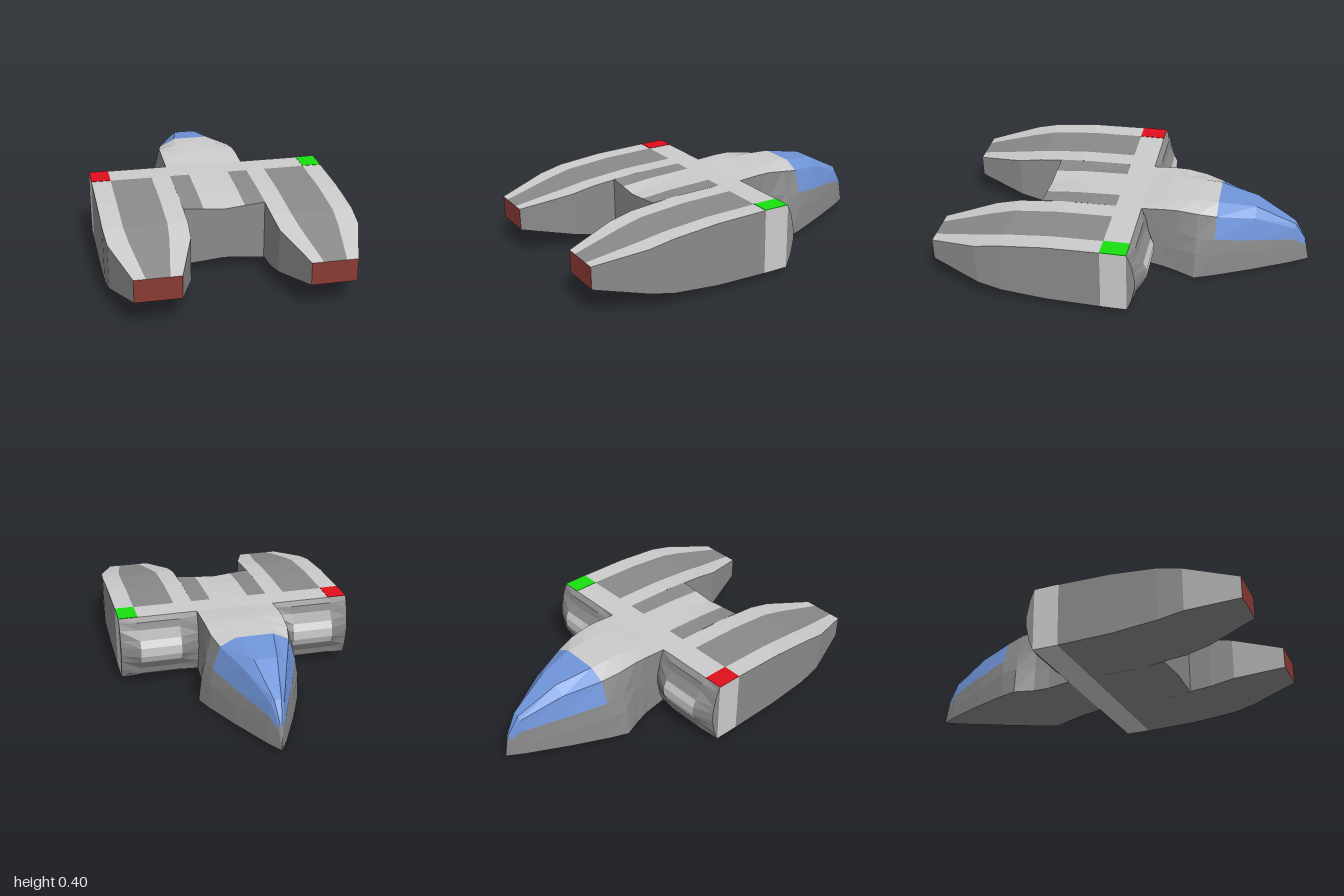
import * as THREE from 'three';

const LIGHT = 0xcccccc, DARK = 0x8a8a8a, BLUE = 0x6f94d8, RED = 0x8a3a34;
const PORT = 0x18e010, STARBOARD = 0xe0101c, PALE = 0xffffff;

const material = (color) => new THREE.MeshStandardMaterial({ color, flatShading: true });

// Skin a grid of points; pick(row, column) gives each panel its colour.
function skin(name, rows, pick, closed = true) {
  const byColour = new Map();
  const a = new THREE.Vector3(), b = new THREE.Vector3(), c = new THREE.Vector3();
  const group = new THREE.Group();
  group.name = name;
  for (let i = 0; i < rows.length - 1; i++) {
    const n = rows[i].length;
    for (let j = 0; j < (closed ? n : n - 1); j++) {
      const k = (j + 1) % n, colour = pick(i, j);
      if (!byColour.has(colour)) byColour.set(colour, []);
      const quad = [rows[i][j], rows[i + 1][j], rows[i + 1][k], rows[i][k]];
      for (const t of [[0, 1, 2], [0, 2, 3]]) {
        const [p, q, r] = t.map((m) => quad[m]);
        a.set(...p); b.set(...q).sub(a); c.set(...r).sub(a);
        if (b.cross(c).length() > 1e-7) byColour.get(colour).push(...p, ...q, ...r);
      }
    }
  }
  for (const [colour, points] of byColour) {
    const geometry = new THREE.BufferGeometry();
    geometry.setAttribute('position', new THREE.Float32BufferAttribute(points, 3));
    geometry.computeVertexNormals();
    const mesh = new THREE.Mesh(geometry, material(colour));
    mesh.name = name + 'Panels';
    group.add(mesh);
  }
  return group;
}

// Collapse a ring to one point, to close an end.
const collapse = (ring, y) => ring.map((p) => [0, y, p[2]]);

// Mirror a right-hand half section, listed bottom to top, into a full ring.
const mirrorRing = (half, z) => [
  ...half.map(([x, y]) => [x, y, z]),
  ...half.slice().reverse().map(([x, y]) => [-x, y, z]),
];

// Engine pod: tapered box with a dark stripe along the top
function makePod() {
  const sections = [
    // z, half width, half stripe, bottom, top
    [1, 0.117, 0.058, 0.15, 0.27],
    [0.73, 0.207, 0.1, 0.093, 0.33],
    [0.6, 0.216, 0.112, 0.066, 0.357],
    [0.35, 0.217, 0.113, 0.042, 0.38],
    [0.06, 0.217, 0.113, 0.035, 0.387],
  ];
  const rings = sections.map(([z, w, s, y0, y1]) => mirrorRing([[w, y0], [w, y1], [s, y1]], z));
  rings.unshift(collapse(rings[0], 0.21));
  return skin('enginePod', rings, (i, j) => (i === 0 ? RED : j === 1 || j === 3 ? LIGHT : DARK));
}

// Rounded intake on the far end of a pod
function makeIntake() {
  const profile = [
    // y, z at the sides, z in the middle
    [0.387, -0.08, -0.08], [0.365, -0.09, -0.108], [0.325, -0.105, -0.118],
    [0.275, -0.115, -0.15], [0.235, -0.123, -0.168], [0.185, -0.123, -0.168],
    [0.145, -0.115, -0.15], [0.095, -0.105, -0.118], [0.057, -0.09, -0.108],
    [0.035, -0.08, -0.08],
  ];
  const w = 0.217, s = 0.113;
  const rows = profile.map(([y, edge, mid]) => [
    [w, y, -0.08], [w, y, edge], [s, y, mid],
    [-s, y, mid], [-w, y, edge], [-w, y, -0.08],
  ]);
  return skin('intake', rows, (i, j) => (j === 2 && i >= 3 && i <= 5 ? PALE : DARK), false);
}

// Middle hull between the pods, its top and bottom dished towards the front
function makeHull() {
  const rings = [[0.475, 0.372, 0.352], [0.3, 0.382, 0.374], [0.06, 0.387, 0.387]].map(([z, edge, mid]) => {
    const inner = (edge + mid) / 2, flip = 0.422;
    return mirrorRing([
      [0, flip - mid], [0.11, flip - inner], [0.217, flip - edge],
      [0.217, edge], [0.11, inner], [0, mid],
    ], z);
  });
  rings.unshift(collapse(rings[0], 0.211));
  return skin('middleHull', rings, (i, j) => (i > 0 && (j === 4 || j === 5 || j === 6) ? LIGHT : DARK));
}

// Pointed cabin with a blue canopy
function makeCabin() {
  const sections = [
    [-0.08, [[0.217, 0.035], [0.217, 0.15], [0.217, 0.25], [0.217, 0.387], [0.11, 0.387]]],
    [-0.2, [[0.222, 0.016], [0.222, 0.15], [0.22, 0.26], [0.217, 0.395], [0.11, 0.4]]],
    [-0.28, [[0.24, 0.008], [0.232, 0.15], [0.225, 0.265], [0.215, 0.395], [0.11, 0.405]]],
    [-0.385, [[0.28, 0.003], [0.262, 0.15], [0.24, 0.245], [0.208, 0.38], [0.105, 0.405]]],
    [-0.485, [[0.245, 0.006], [0.24, 0.148], [0.225, 0.235], [0.185, 0.36], [0.1, 0.402]]],
    [-0.69, [[0.158, 0.012], [0.153, 0.12], [0.143, 0.203], [0.112, 0.325], [0.06, 0.37]]],
    [-0.91, [[0.052, 0.016], [0.049, 0.085], [0.044, 0.168], [0.032, 0.233], [0.018, 0.255]]],
    [-0.97, [[0.017, 0.017], [0.016, 0.07], [0.014, 0.12], [0.01, 0.145], [0.005, 0.155]]],
    [-1, [[0, 0.018], [0, 0.018], [0, 0.018], [0, 0.018], [0, 0.018]]],
  ];
  const rings = sections.map(([z, half]) => mirrorRing(half, z));
  return skin('cabin', rings, (i, j) => {
    if (i >= 4 && i < 7 && j >= 2 && j <= 6) return BLUE;
    return i < 4 && j >= 3 && j <= 5 ? LIGHT : DARK;
  });
}

export function createModel() {
  const model = new THREE.Group();
  model.name = 'spacecraft';
  model.add(makeHull(), makeCabin());

  // Cross beam joining the pods
  const beam = new THREE.Mesh(new THREE.BoxGeometry(1.3, 0.352, 0.14), material(LIGHT));
  beam.name = 'crossBeam';
  beam.position.set(0, 0.211, -0.01);
  model.add(beam);

  for (const side of [1, -1]) {
    for (const part of [makePod(), makeIntake()]) {
      part.position.x = side * 0.433;
      model.add(part);
    }
    // Side light on the beam
    const lamp = new THREE.Mesh(new THREE.BoxGeometry(0.105, 0.004, 0.14), material(side > 0 ? PORT : STARBOARD));
    lamp.name = side > 0 ? 'leftSideLight' : 'rightSideLight';
    lamp.position.set(side * 0.5975, 0.387, -0.01);
    model.add(lamp);
  }
  return model;
}
